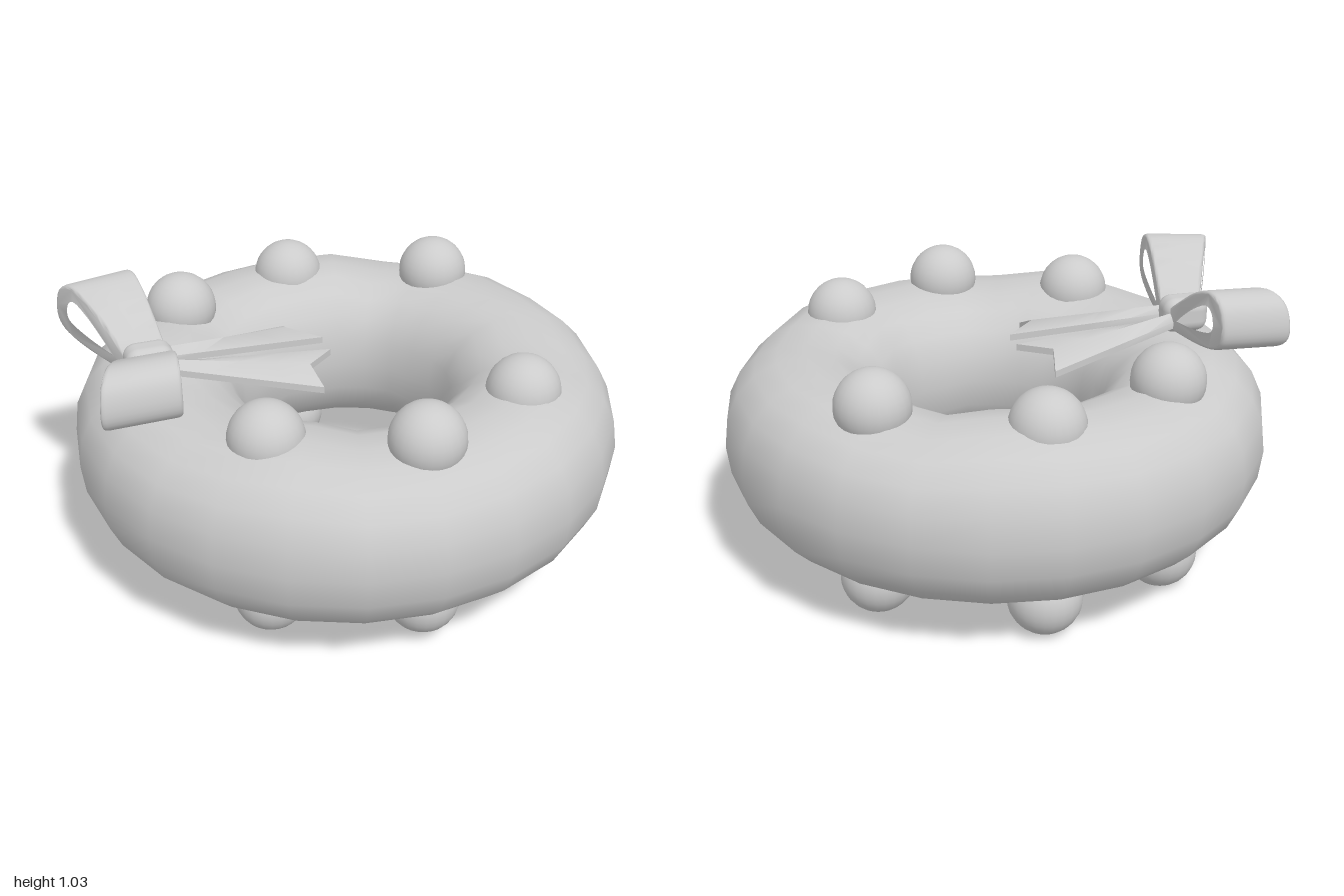
import * as THREE from 'three';
import { mergeVertices, toCreasedNormals } from 'three/addons/utils/BufferGeometryUtils.js';
import { RoundedBoxGeometry } from 'three/addons/geometries/RoundedBoxGeometry.js';

const material = new THREE.MeshStandardMaterial({ color: 0xcccccc });

function addMesh(parent, geometry, name) {
  const mesh = new THREE.Mesh(geometry, material);
  mesh.name = name;
  parent.add(mesh);
  return mesh;
}

// Moves every vertex by rule(v), then rebuilds the normals.
function reshape(geometry, rule) {
  const pos = geometry.attributes.position;
  const v = new THREE.Vector3();
  for (let i = 0; i < pos.count; i++) {
    v.fromBufferAttribute(pos, i);
    rule(v);
    pos.setXYZ(i, v.x, v.y, v.z);
  }
  geometry.computeVertexNormals();
  return geometry;
}

// Slightly uneven ring with an off-centre hole
function ringGeometry() {
  let g = new THREE.TorusGeometry(2, 1, 20, 24);
  g.deleteAttribute('uv');
  g.deleteAttribute('normal');
  g = mergeVertices(g, 1e-4);
  return reshape(g, (v) => {
    const a = Math.atan2(v.y, v.x);
    const across = Math.hypot(v.x, v.y) - 2;
    const up = v.z;
    const soft = (n) => Math.sign(n) * Math.pow(Math.abs(n), 0.9);
    const inner = Math.max(0, -across);
    const top = Math.max(0, up);
    const wobble = 0.008 * Math.sin(7 * a + 1) + 0.005 * Math.sin(11 * a);
    const r = 0.677 + 0.302 * soft(across) + wobble * inner;
    const y = 0.475 + 0.305 * soft(up) + top * (0.012 * Math.sin(5 * a) + 0.01 * Math.sin(9 * a + 2));
    const stretch = 1 + 0.012 * Math.max(0, across);
    v.set(r * Math.cos(a) + 0.015 * inner, y, -r * Math.sin(a) * stretch - 0.03 * inner);
  });
}

// Teardrop ribbon loop with rounded edges, widening and leaning outward away from the knot
function loopGeometry(side) {
  const spline = (points) => new THREE.SplineCurve(points.map(([x, y]) => new THREE.Vector2(x, y))).getPoints(36);
  const shape = new THREE.Shape(spline([
    [0.02, 0.85], [0.12, 0.925], [0.22, 0.99], [0.32, 1.02], [0.395, 0.985],
    [0.42, 0.89], [0.38, 0.83], [0.25, 0.80], [0.02, 0.79],
  ]));
  shape.holes.push(new THREE.Path(spline([
    [0.08, 0.83], [0.15, 0.89], [0.23, 0.945], [0.3, 0.975], [0.345, 0.955],
    [0.36, 0.9], [0.33, 0.865], [0.22, 0.84], [0.08, 0.826],
  ])));
  const g = new THREE.ExtrudeGeometry(shape, {
    depth: 0.86, steps: 2, bevelThickness: 0.07, bevelSize: 0.01, bevelOffset: -0.01, bevelSegments: 3,
  });
  reshape(g, (v) => {
    const t = v.x / 0.42;
    const width = 0.14 + 0.125 * t;
    const offset = -side * (v.z - 0.43);
    v.set(-0.7 - 0.12 * t + offset * width, v.y + 0.02 * t * offset, side * (v.x + 0.025 * t * offset) - 0.012);
  });
  return toCreasedNormals(g, 0.9);
}

// Pleated ribbon tail with a notched end
function tailGeometry(side) {
  const g = new THREE.BoxGeometry(1, 1, 1, 4, 1, 2);
  const start = [[-0.66, 0.82, 0.018], [-0.66, 0.845, 0.042], [-0.66, 0.82, 0.067]];
  const end = [[-0.062, 0.78, 0.047], [-0.17, 0.79, 0.145], [-0.15, 0.745, 0.24]];
  reshape(g, (v) => {
    const t = v.x + 0.5;
    const column = Math.round((v.z * side + 0.5) * 2);
    const p = start[column].map((s, i) => s + (end[column][i] - s) * t);
    v.set(p[0], p[1] + v.y * 0.024, side * p[2] - 0.025);
  });
  return toCreasedNormals(g, 0.8);
}

export function createModel() {
  const model = new THREE.Group();
  model.name = 'wreath';
  addMesh(model, ringGeometry(), 'ring');

  // Round ornaments: x, z, top height, bottom height
  const ornaments = new THREE.Group();
  ornaments.name = 'ornaments';
  model.add(ornaments);
  const ball = new THREE.SphereGeometry(0.13, 24, 16);
  const spots = [
    [-0.48, -0.49, 0.785, 0.13], [0, -0.69, 0.76, 0.13], [0.525, -0.47, 0.79, 0.165],
    [0.48, 0.47, 0.765, 0.13], [0.04, 0.69, 0.79, 0.165], [-0.44, 0.49, 0.775, 0.15],
  ];
  for (const [x, z, top, bottom] of spots) {
    addMesh(ornaments, ball, 'topOrnament').position.set(x, top, z);
    addMesh(ornaments, ball, 'bottomOrnament').position.set(x, bottom, z);
  }

  // Bow with knot, two loops and two tails
  const bow = new THREE.Group();
  bow.name = 'bow';
  model.add(bow);
  addMesh(bow, new RoundedBoxGeometry(0.17, 0.13, 0.12, 4, 0.045), 'knot').position.set(-0.705, 0.835, -0.022);
  for (const side of [1, -1]) {
    addMesh(bow, loopGeometry(side), 'bowLoop');
    addMesh(bow, tailGeometry(side), 'bowTail');
  }
  return model;
}
